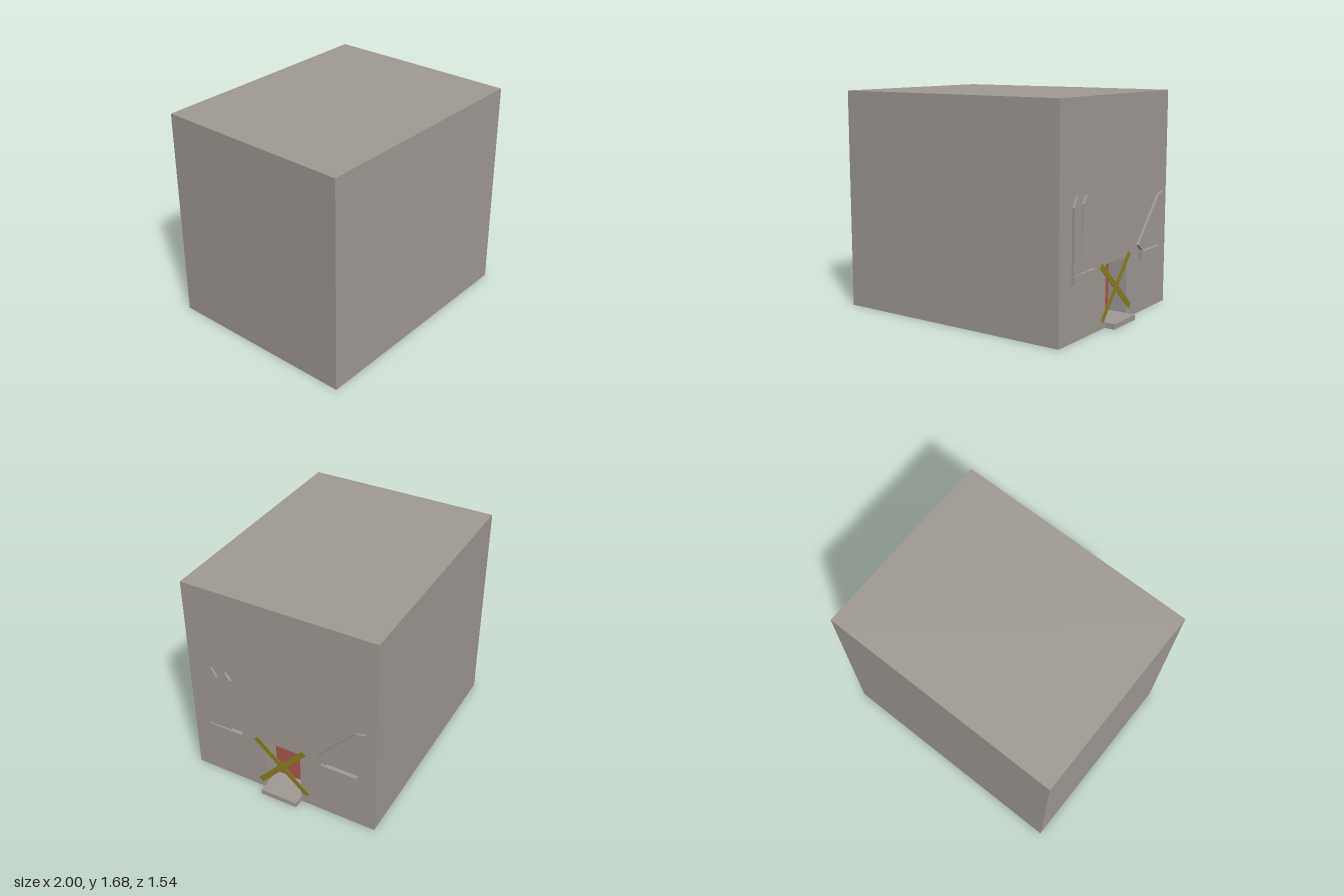
import * as THREE from 'three';

const WALL = 0.92;    // x of the decorated outer wall
const RECESS = 0.765; // x of the door at the back of the doorway
const DOOR_W = 0.153, DOOR_H = 0.47;

function material(name, color) {
  const m = new THREE.MeshStandardMaterial({ color });
  m.name = name;
  return m;
}

// Outline given as [z, y] points, drawn so that it extrudes towards +x
function outline(points) {
  return new THREE.Shape(points.map(([z, y]) => new THREE.Vector2(-z, y)));
}

function extrudeX(shape, x0, x1) {
  const g = new THREE.ExtrudeGeometry(shape, { depth: x1 - x0, bevelEnabled: false });
  return g.rotateY(Math.PI / 2).translate(x0, 0, 0);
}

function boxBetween(x0, x1, y0, y1, z0, z1) {
  return new THREE.BoxGeometry(x1 - x0, y1 - y0, z1 - z0)
    .translate((x0 + x1) / 2, (y0 + y1) / 2, (z0 + z1) / 2);
}

export function createModel() {
  const model = new THREE.Group();
  model.name = 'blockHouse';
  const stone = material('stone grey', 0xa09a94);
  const red = material('door red', 0xaa5c4b);
  const yellow = material('tape yellow', 0x8b8020);

  const add = (name, geometry, mat) => {
    const mesh = new THREE.Mesh(geometry, mat);
    mesh.name = name;
    model.add(mesh);
    return mesh;
  };

  // Building mass, with a front slab pierced by the doorway
  add('building', boxBetween(-1, RECESS, 0, 1.68, -0.77, 0.77), stone);
  const wall = outline([[0.77, 0], [0.77, 1.68], [-0.77, 1.68], [-0.77, 0]]);
  wall.holes.push(outline([
    [DOOR_W, 0.01], [-DOOR_W, 0.01], [-DOOR_W, DOOR_H], [DOOR_W, DOOR_H],
  ]));
  add('doorWall', extrudeX(wall, RECESS, WALL), stone);

  // Recessed door and the step that runs out through the doorway
  add('door', boxBetween(RECESS, RECESS + 0.005, 0.04, DOOR_H, -DOOR_W, DOOR_W), red);
  add('doorStep', boxBetween(RECESS, 1, 0, 0.04, -DOOR_W, DOOR_W), stone);

  // Crossed strips barring the doorway
  const strips = [
    [[0.225, 0.474], [-0.212, 0.083]],
    [[-0.19, 0.499], [0.2, 0.06]],
  ];
  strips.forEach(([[z0, y0], [z1, y1]], i) => {
    const length = Math.hypot(z1 - z0, y1 - y0);
    const strip = add('crossStrip' + (i + 1), new THREE.BoxGeometry(0.004, 0.044, length), yellow);
    strip.position.set(WALL + 0.002 + i * 0.001, (y0 + y1) / 2, (z0 + z1) / 2);
    strip.rotation.x = -Math.atan2(y1 - y0, z1 - z0);
  });

  // Window ledges
  add('leftLedge', boxBetween(WALL, 0.95, 0.413, 0.479, 0.338, 0.622), stone);
  add('rightLedge', boxBetween(WALL, 0.95, 0.413, 0.479, -0.63, -0.342), stone);

  // Pointed boards nailed over the windows
  const boards = [
    [[0.612, 0.479], [0.612, 0.945], [0.568, 1.015], [0.525, 0.945], [0.525, 0.479]],
    [[0.525, 0.485], [0.49, 0.955], [0.447, 1.01], [0.402, 0.95], [0.435, 0.479]],
    [[-0.3, 0.535], [-0.615, 0.88], [-0.695, 0.902], [-0.685, 0.825], [-0.37, 0.479]],
  ];
  boards.forEach((points, i) => {
    add('windowBoard' + (i + 1), extrudeX(outline(points), WALL, 0.94), stone);
  });

  return model;
}
